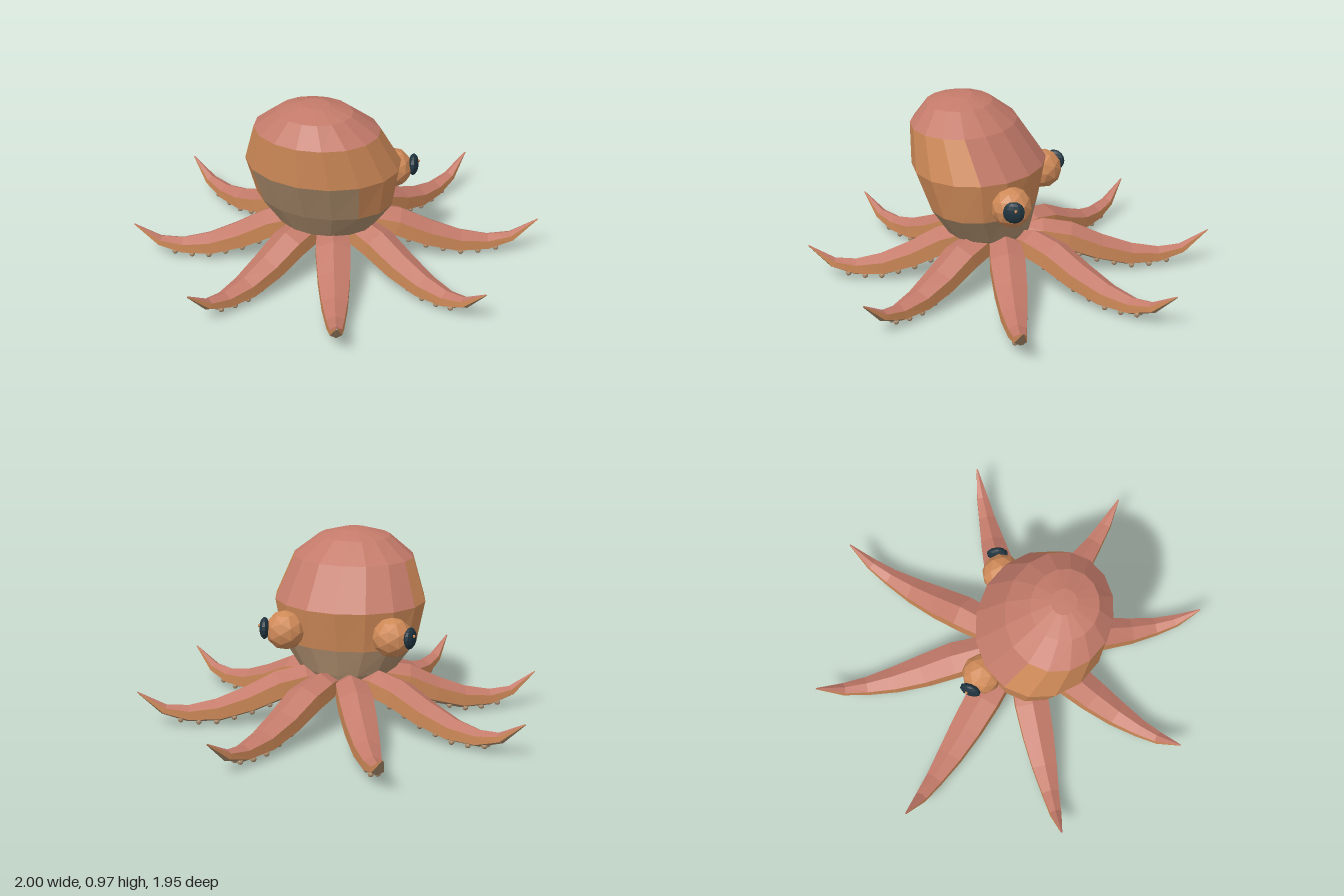
import * as THREE from 'three';

const mat = (name, color) => {
  const m = new THREE.MeshStandardMaterial({ color, flatShading: true });
  m.name = name;
  return m;
};

// Skins a list of closed rings; pick(i, j) gives the material index of each face.
function loft(rings, pick, count) {
  const buckets = Array.from({ length: count }, () => []);
  const n = rings[0].length;
  const tri = (m, ...pts) => pts.forEach((p) => buckets[m].push(p.x, p.y, p.z));
  for (let i = 0; i < rings.length - 1; i++) {
    for (let j = 0; j < n; j++) {
      const k = (j + 1) % n, m = pick(i, j);
      const a = rings[i][j], b = rings[i][k], c = rings[i + 1][k], d = rings[i + 1][j];
      tri(m, a, b, c);
      tri(m, a, c, d);
    }
  }
  const geo = new THREE.BufferGeometry();
  geo.setAttribute('position', new THREE.Float32BufferAttribute(buckets.flat(), 3));
  let start = 0;
  buckets.forEach((b, m) => {
    geo.addGroup(start, b.length / 3, m);
    start += b.length / 3;
  });
  geo.computeVertexNormals();
  return geo;
}

export function createModel() {
  const model = new THREE.Group();
  const salmon = mat('salmonSkin', 0xc47b6a);
  const orange = mat('orangeSkin', 0xcf8a58);
  const tan = mat('tanUnderside', 0xa98a6b);
  const dark = mat('darkPupil', 0x20343f);
  const skins = [salmon, orange, tan];

  const add = (parent, name, geo, material, x = 0, y = 0, z = 0) => {
    const mesh = new THREE.Mesh(geo, material);
    mesh.name = name;
    mesh.position.set(x, y, z);
    parent.add(mesh);
    return mesh;
  };

  // Head: sixteen-sided rings leaning forward (y, centre z, x radius, z radius)
  const SIDES = 16;
  const headRings = [
    [0.2, 0.04, 0, 0], [0.2, 0.04, 0.12, 0.12], [0.29, 0.11, 0.26, 0.22],
    [0.43, 0.135, 0.36, 0.275], [0.64, 0.16, 0.4, 0.34], [0.85, 0.24, 0.32, 0.27],
    [0.95, 0.265, 0.19, 0.17], [0.985, 0.26, 0.07, 0.065], [0.988, 0.26, 0, 0],
  ].map(([y, cz, rx, rz]) => Array.from({ length: SIDES }, (_, j) => {
    const a = (j / SIDES) * Math.PI * 2;
    return new THREE.Vector3(rx * Math.sin(a), y, cz + rz * Math.cos(a));
  }));
  const headColour = (i, j) => {
    const fromFront = Math.min(j, SIDES - 1 - j); // columns away from the front
    if (i < 3) return 2;
    if (i === 3) return fromFront < 2 ? 2 : 1;
    if (i === 4) return fromFront < 5 ? 1 : 0;
    return 0;
  };
  add(model, 'head', loft(headRings, headColour, 3), skins);

  // Tentacle stations: reach, height, half width, half thickness
  const stations = [
    [0.08, 0.23, 0.035, 0.05], [0.2, 0.235, 0.08, 0.08], [0.33, 0.21, 0.088, 0.08],
    [0.49, 0.14, 0.08, 0.072], [0.65, 0.09, 0.064, 0.062], [0.8, 0.08, 0.044, 0.045],
    [0.92, 0.11, 0.03, 0.028], [1.05, 0.21, 0.003, 0.003],
  ];
  const tentacleColours = [0, 1, 2, 2, 1, 0];
  const suckerGeo = new THREE.IcosahedronGeometry(0.015, 1);

  function tentacle(length) {
    const group = new THREE.Group();
    const s = length / 1.05;
    const rings = stations.map(([r, y, w, h], i) => {
      const p = stations[Math.max(i - 1, 0)];
      const q = stations[Math.min(i + 1, stations.length - 1)];
      const tilt = Math.atan2(q[1] - p[1], q[0] - p[0]);
      return Array.from({ length: 6 }, (_, k) => {
        const a = Math.PI / 2 + (k * Math.PI) / 3;
        const up = h * Math.sin(a);
        return new THREE.Vector3((w / 0.866) * Math.cos(a),
          y + up * Math.cos(tilt), r * s - up * Math.sin(tilt));
      });
    });
    add(group, 'arm', loft(rings, (i, j) => tentacleColours[j], 3), skins);

    // Two rows of suckers along the underside
    for (let n = 0; n < 7; n++) {
      const r = 0.3 + n * 0.09;
      const i = stations.findIndex((st) => st[0] > r) - 1;
      const t = (r - stations[i][0]) / (stations[i + 1][0] - stations[i][0]);
      const [, y, w, h] = stations[i].map((v, k) => THREE.MathUtils.lerp(v, stations[i + 1][k], t));
      for (const side of [-1, 1]) {
        add(group, 'sucker', suckerGeo, tan, side * w * 0.42, y - h * 0.8 - 0.006, r * s);
      }
    }
    return group;
  }

  // Eight tentacles, mirrored in pairs, longer toward the back
  [1.005, 1.03, 1.08, 1.1].forEach((length, i) => {
    for (const side of [-1, 1]) {
      const t = tentacle(length);
      t.name = 'tentacle';
      t.position.z = 0.04;
      t.rotation.y = side * THREE.MathUtils.degToRad(22.5 + 45 * i);
      model.add(t);
    }
  });

  // Bulging eyes with flattened pupils and a small glint
  for (const side of [-1, 1]) {
    const eye = new THREE.Group();
    eye.name = side > 0 ? 'leftEye' : 'rightEye';
    eye.position.set(side * 0.28, 0.515, -0.1);
    add(eye, 'eyeball', new THREE.IcosahedronGeometry(0.104, 1), orange);
    const pupil = add(eye, 'pupil', new THREE.SphereGeometry(0.056, 10, 8), dark, side * 0.1, 0.015, -0.042);
    pupil.scale.x = 0.48;
    pupil.rotation.y = side * 0.2;
    add(eye, 'glint', new THREE.IcosahedronGeometry(0.009, 0), orange, side * 0.122, 0.032, -0.058);
    model.add(eye);
  }

  return model;
}
